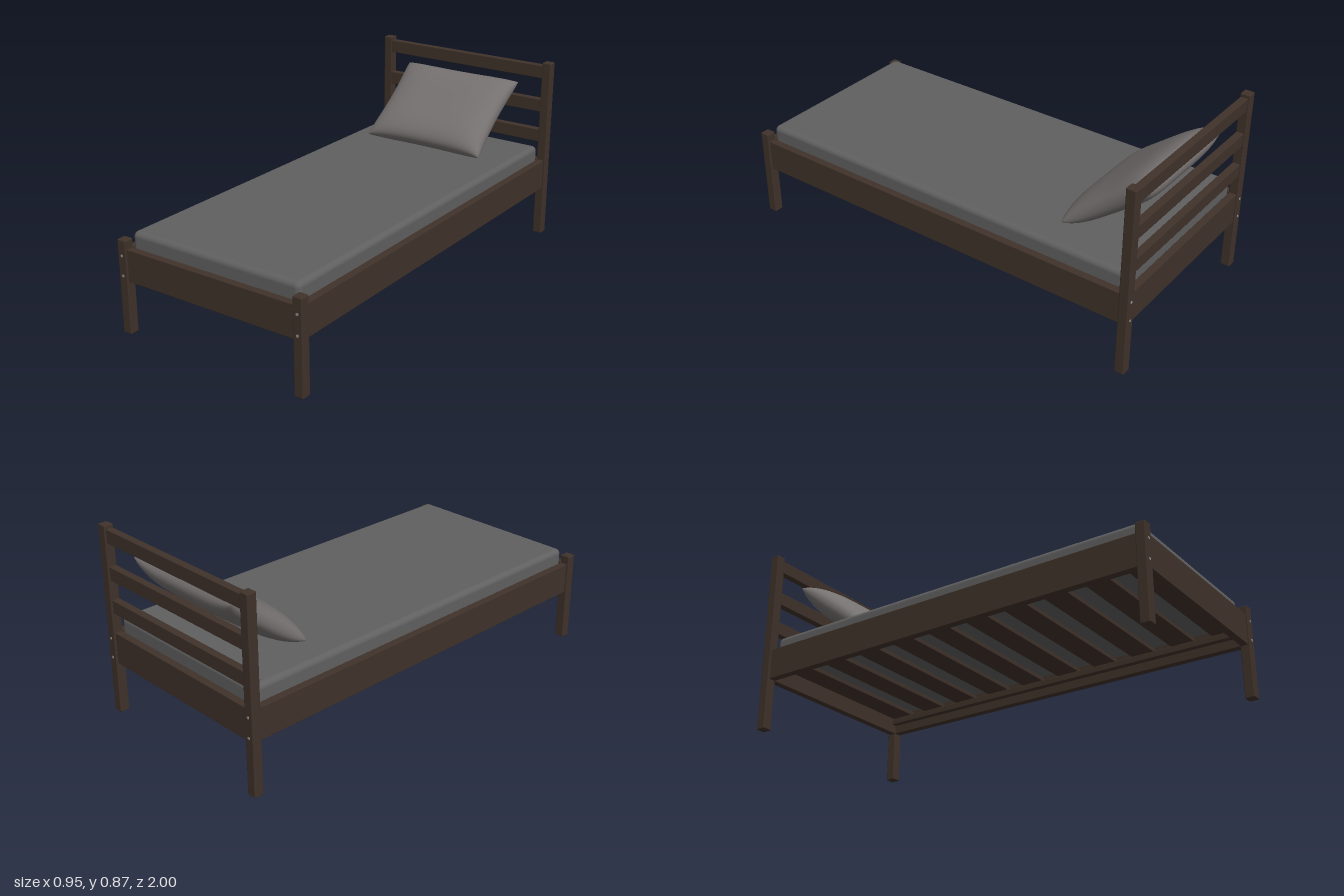
import * as THREE from 'three';
import { RoundedBoxGeometry } from 'three/addons/geometries/RoundedBoxGeometry.js';
import { mergeVertices } from 'three/addons/utils/BufferGeometryUtils.js';

const paint = (color) => new THREE.MeshStandardMaterial({ color });
const wood = paint(0x40322a);
const fabric = paint(0x606060);
const linen = paint(0x757170);
const metal = paint(0x8a8a8a);

// Box with softened edges, given by its centre and size
function block(name, material, [x, y, z], [w, h, d], radius = 0.003, segments = 2) {
  const mesh = new THREE.Mesh(new RoundedBoxGeometry(w, h, d, segments, radius), material);
  mesh.name = name;
  mesh.position.set(x, y, z);
  return mesh;
}

// Cushion: two domed sheets that meet in a seam, with sides drawn in between the corners
function cushionGeometry(halfW, halfH, halfT) {
  const n = 28;
  const dome = (t) => 1 - t ** 4;
  const positions = [];
  const index = [];
  for (const side of [1, -1]) {
    const base = positions.length / 3;
    for (let j = 0; j <= n; j++) {
      for (let i = 0; i <= n; i++) {
        const u = Math.sin((i / n - 0.5) * Math.PI);
        const v = Math.sin((j / n - 0.5) * Math.PI);
        positions.push(
          halfW * u * (1 - 0.055 * (1 - v * v)),
          halfH * v * (1 - 0.04 * (1 - u * u)),
          side * halfT * Math.max(0, dome(u) * dome(v)) ** 0.42
        );
        if (i < n && j < n) {
          const a = base + j * (n + 1) + i;
          const b = a + 1, c = a + n + 1, d = c + 1;
          if (side > 0) index.push(a, b, d, a, d, c);
          else index.push(a, d, b, a, c, d);
        }
      }
    }
  }
  const geometry = new THREE.BufferGeometry();
  geometry.setAttribute('position', new THREE.Float32BufferAttribute(positions, 3));
  geometry.setIndex(index);
  const welded = mergeVertices(geometry, 1e-5);
  welded.computeVertexNormals();
  return welded;
}

export function createModel() {
  const bed = new THREE.Group();
  bed.name = 'bed';

  // Posts and their bolts, tall at the head and short at the foot
  const boltGeometry = new THREE.CylinderGeometry(0.006, 0.006, 0.006, 16).rotateX(Math.PI / 2);
  for (const end of [1, -1]) {
    const height = end > 0 ? 0.425 : 0.873;
    for (const side of [1, -1]) {
      const name = (end > 0 ? 'foot' : 'head') + 'Post' + (side > 0 ? 'Left' : 'Right');
      bed.add(block(name, wood, [side * 0.452, height / 2, end * 0.975], [0.045, height, 0.045], 0.005));
      for (const y of [0.265, 0.355]) {
        const bolt = new THREE.Mesh(boltGeometry, metal);
        bolt.name = 'bolt';
        bolt.position.set(side * 0.452, y, end * 0.997);
        bed.add(bolt);
      }
    }
    // Wide board across the end
    bed.add(block(end > 0 ? 'footBoard' : 'headBoard', wood, [0, 0.3125, end * 0.972], [0.864, 0.145, 0.034]));
  }

  // Headboard rails
  for (const y of [0.507, 0.659, 0.826]) {
    bed.add(block('headRail', wood, [0, y, -0.972], [0.864, 0.062, 0.034]));
  }

  // Side boards with an inner ledge carrying the slats
  for (const side of [1, -1]) {
    bed.add(block('sideBoard', wood, [side * 0.448, 0.3125, 0], [0.034, 0.145, 1.91]));
    bed.add(block('slatLedge', wood, [side * 0.417, 0.295, 0], [0.028, 0.03, 1.9]));
  }

  // Slats
  const slatCount = 10;
  for (let i = 0; i < slatCount; i++) {
    const z = -0.89 + (1.78 * i) / (slatCount - 1);
    bed.add(block('slat', wood, [0, 0.32, z], [0.858, 0.02, 0.11]));
  }

  // Mattress
  bed.add(block('mattress', fabric, [0, 0.3925, 0], [0.86, 0.125, 1.908], 0.024, 5));

  // Pillow leaning on the headboard
  const pillow = new THREE.Mesh(cushionGeometry(0.312, 0.232, 0.068), linen);
  pillow.name = 'pillow';
  pillow.position.set(0, 0.618, -0.759);
  pillow.rotation.x = -THREE.MathUtils.degToRad(52.5);
  bed.add(pillow);

  return bed;
}
